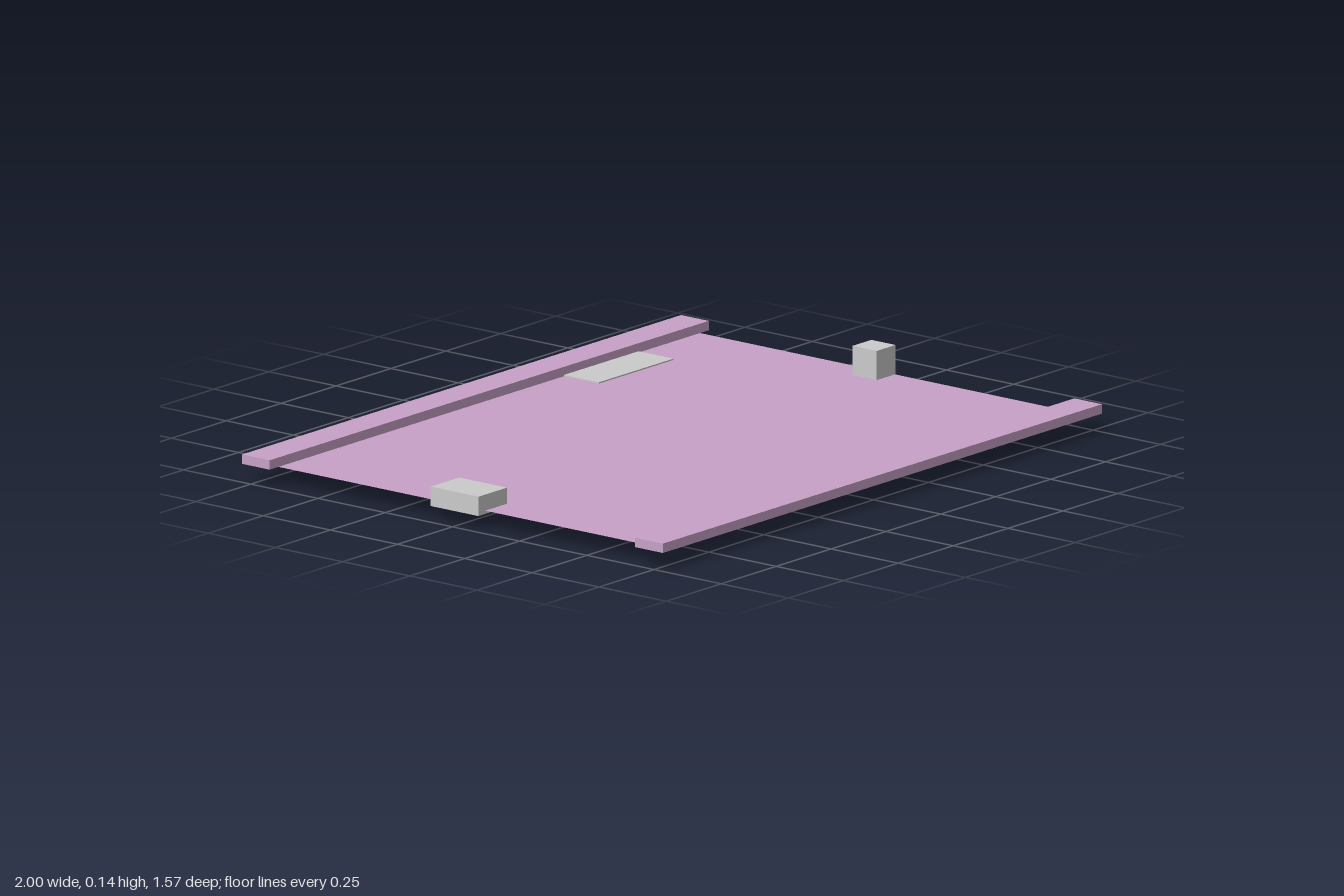
import * as THREE from 'three';

export function createModel() {
  const model = new THREE.Group();
  const lilac = new THREE.MeshStandardMaterial({ color: 0xc8a2c8, flatShading: true });
  const grey = new THREE.MeshStandardMaterial({ color: 0xcccccc, flatShading: true });

  // Box given by its minimum and maximum corners
  function addBox(name, material, [x0, y0, z0], [x1, y1, z1]) {
    const geometry = new THREE.BoxGeometry(x1 - x0, y1 - y0, z1 - z0);
    const mesh = new THREE.Mesh(geometry, material);
    mesh.name = name;
    mesh.position.set((x0 + x1) / 2, (y0 + y1) / 2, (z0 + z1) / 2);
    model.add(mesh);
    return mesh;
  }

  // Shallow pan: a box whose underside tapers inward on all four sides
  const deckY = 0.055;
  const pan = addBox('pan', lilac, [-0.96, 0, -0.71], [0.96, deckY, 0.71]);
  const position = pan.geometry.attributes.position;
  for (let i = 0; i < position.count; i++) {
    if (position.getY(i) < 0) {
      position.setX(i, Math.sign(position.getX(i)) * 0.7);
      position.setZ(i, Math.sign(position.getZ(i)) * 0.48);
    }
  }
  pan.geometry.computeVertexNormals();

  // Raised rails along the front and back edges
  addBox('frontRail', lilac, [-1, deckY, 0.68], [1, 0.083, 0.783]);
  addBox('backRail', lilac, [-1, deckY, -0.783], [1, 0.083, -0.68]);

  // Blocks at the two ends, and a thin plate on the deck
  addBox('rightBlock', grey, [-0.99, 0.045, -0.089], [-0.86, 0.103, 0.089]);
  addBox('leftBlock', grey, [0.877, 0.03, -0.045], [0.963, 0.142, 0.045]);
  addBox('deckPlate', grey, [0.34, 0.052, -0.68], [0.68, 0.059, -0.55]);

  return model;
}
